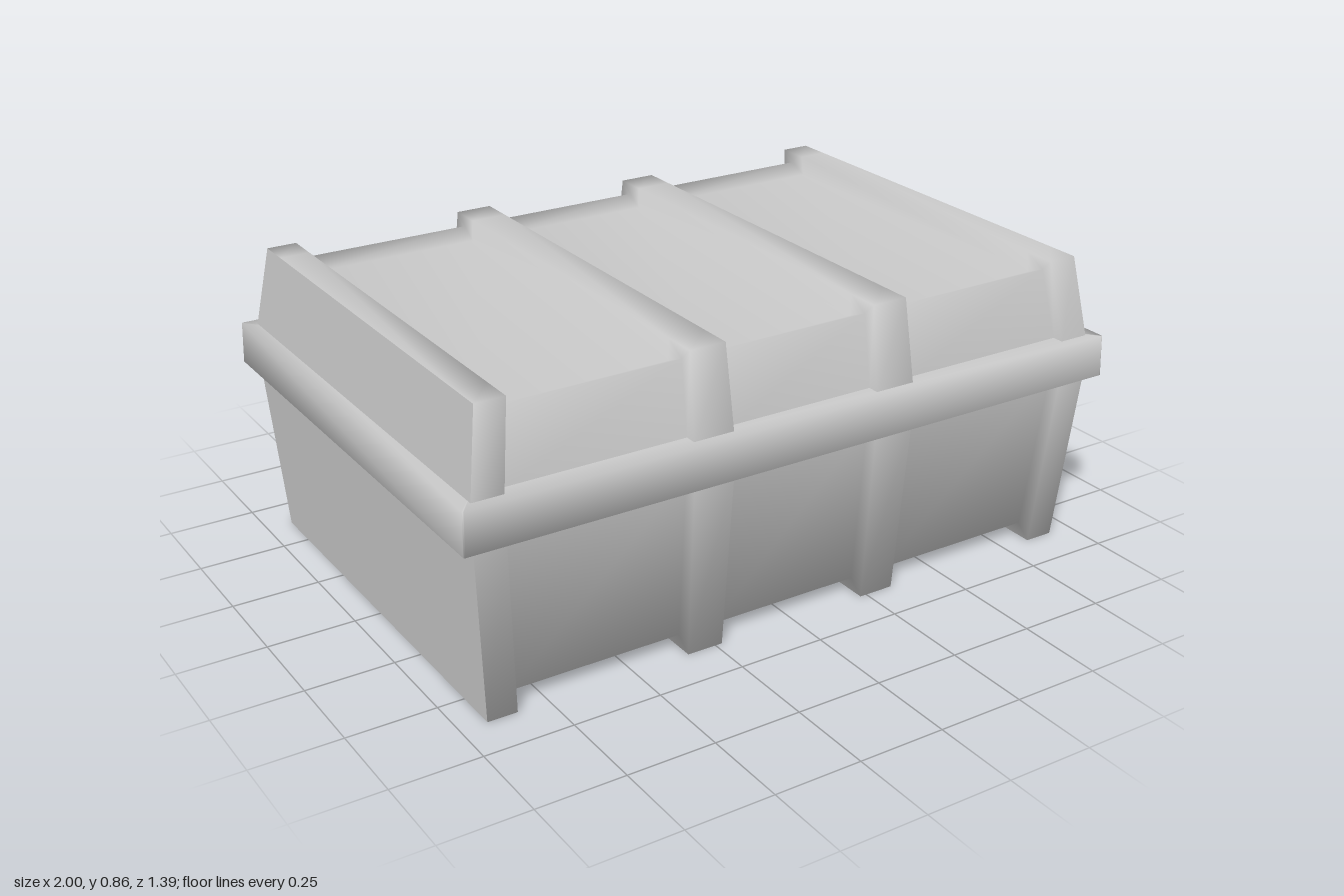
import * as THREE from 'three';

const plastic = new THREE.MeshStandardMaterial({ color: 0xc8c8c8 });
plastic.name = 'grey plastic';

function makeGeometry(positions, index) {
  const g = new THREE.BufferGeometry();
  g.setAttribute('position', new THREE.Float32BufferAttribute(positions, 3));
  g.setIndex(index);
  g.computeVertexNormals();
  return g;
}

// Sections along x: [x at the seam, x at the far edge, is rib]
function ribStations() {
  const right = [
    [0.225, 0.23, false], [0.225, 0.23, true], [0.345, 0.335, true], [0.345, 0.335, false],
    [0.873, 0.84, false], [0.873, 0.84, true], [0.962, 0.925, true],
  ];
  const left = right.map(([a, b, rib]) => [-a, -b, rib]).reverse();
  return [...left, ...right];
}

// Sweep an open [z, y] profile through the stations, stepping in between ribs
function ribbedShell(ribProfile, panelProfile, seamY, farY) {
  const stations = ribStations();
  const n = ribProfile.length;
  const pos = [], idx = [], capPos = [], capIdx = [];
  const point = ([xs, xf], [z, y]) => {
    const t = THREE.MathUtils.clamp((y - seamY) / (farY - seamY), 0, 1);
    return [xs + (xf - xs) * t, y, z];
  };
  stations.forEach((s, i) => {
    const profile = s[2] ? ribProfile : panelProfile;
    profile.forEach((p, j) => {
      pos.push(...point(s, p));
      if (i + 1 < stations.length && j + 1 < n) {
        const a = i * n + j, d = a + n;
        idx.push(a, d, d + 1, a, d + 1, a + 1);
      }
    });
  });
  // flat end walls
  [stations[0], stations[stations.length - 1]].forEach((s, e) => {
    ribProfile.forEach((p) => capPos.push(...point(s, p)));
    for (let j = 1; j + 1 < n; j++) {
      const o = e * n;
      capIdx.push(...(e ? [o, o + j + 1, o + j] : [o, o + j, o + j + 1]));
    }
  });
  return { shell: makeGeometry(pos, idx), ends: makeGeometry(capPos, capIdx) };
}

// Rectangular loops [half x, half z, y] with tight corners, stacked into a band
function band(levels) {
  const r = 0.004, pos = [], idx = [];
  let n = 0;
  levels.forEach(([hx, hz, y], k) => {
    const ring = [];
    [[1, 1], [-1, 1], [-1, -1], [1, -1]].forEach(([sx, sz], c) => {
      for (let q = 0; q <= 2; q++) {
        const a = (c + q / 2) * Math.PI / 2;
        ring.push([sx * (hx - r) + r * Math.cos(a), y, sz * (hz - r) + r * Math.sin(a)]);
      }
    });
    n = ring.length;
    ring.forEach((p, j) => {
      pos.push(...p);
      if (k + 1 < levels.length) {
        const a = k * n + j, b = k * n + (j + 1) % n;
        idx.push(a, a + n, b + n, a, b + n, b);
      }
    });
  });
  return makeGeometry(pos, idx);
}

export function createModel() {
  const model = new THREE.Group();
  model.name = 'storageBox';
  const add = (name, geometry, parent) => {
    const m = new THREE.Mesh(geometry, plastic);
    m.name = name;
    parent.add(m);
  };

  // tapered tub with ribs wrapping the walls and floor
  const tub = ribbedShell(
    [[-0.665, 0.52], [-0.625, 0], [0.625, 0], [0.665, 0.52]],
    [[-0.625, 0.52], [-0.58, 0.037], [0.58, 0.037], [0.625, 0.52]],
    0.52, 0);
  const tubGroup = new THREE.Group();
  tubGroup.name = 'tub';
  model.add(tubGroup);
  add('tubWalls', tub.shell, tubGroup);
  add('tubEnds', tub.ends, tubGroup);

  // lid with matching ribs; its panels dip behind a raised front and back lip
  const lid = ribbedShell(
    [[0.662, 0.62], [0.625, 0.86], [0.53, 0.86], [-0.53, 0.86], [-0.625, 0.86], [-0.662, 0.62]],
    [[0.63, 0.62], [0.59, 0.826], [0.53, 0.8], [-0.53, 0.8], [-0.59, 0.826], [-0.63, 0.62]],
    0.62, 0.86);
  const lidGroup = new THREE.Group();
  lidGroup.name = 'lid';
  model.add(lidGroup);
  add('lidTop', lid.shell, lidGroup);
  add('lidEnds', lid.ends, lidGroup);

  // rim band around the seam
  add('rim', band([
    [0.94, 0.62, 0.512], [1, 0.694, 0.512], [0.997, 0.691, 0.63], [0.94, 0.62, 0.63],
  ]), lidGroup);
  return model;
}
